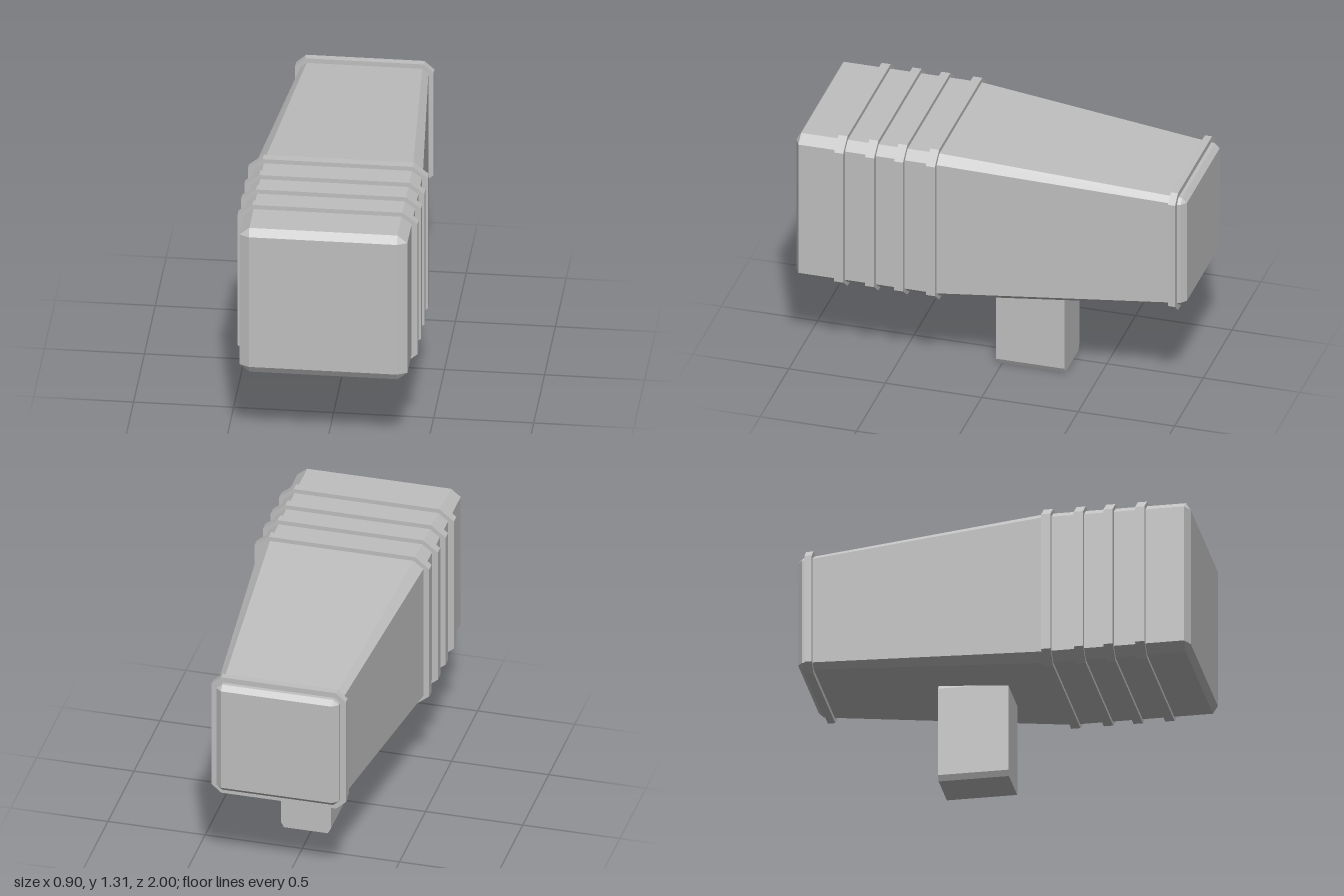
import * as THREE from 'three';

// Chamfered rectangle, counter-clockwise seen from +z
function section({ z, w, y0, y1, cx = 0, cy = 0, x = 0 }) {
  return [
    [w, y0 + cy], [w, y1 - cy], [w - cx, y1], [-w + cx, y1],
    [-w, y1 - cy], [-w, y0 + cy], [-w + cx, y0], [w - cx, y0],
  ].map(([px, py]) => new THREE.Vector3(px + x, py, z));
}

// Flat-faced closed solid through sections ordered from front to back
function loft(specs) {
  const rings = specs.map(section);
  const pos = [];
  const tri = (a, b, c) => {
    const area = b.clone().sub(a).cross(c.clone().sub(a)).length();
    if (area > 1e-8) for (const p of [a, b, c]) pos.push(p.x, p.y, p.z);
  };
  for (let r = 0; r < rings.length - 1; r++) {
    const a = rings[r], b = rings[r + 1];
    for (let i = 0; i < 8; i++) {
      const j = (i + 1) % 8;
      tri(a[i], b[i], a[j]);
      tri(a[j], b[i], b[j]);
    }
  }
  const front = rings[0], back = rings[rings.length - 1];
  for (let i = 1; i < 7; i++) {
    tri(front[0], front[i], front[i + 1]);
    tri(back[0], back[i + 1], back[i]);
  }
  const geo = new THREE.BufferGeometry();
  geo.setAttribute('position', new THREE.Float32BufferAttribute(pos, 3));
  geo.computeVertexNormals();
  return geo;
}

export function createModel() {
  const model = new THREE.Group();
  model.name = 'malletShapedHousing';
  const grey = new THREE.MeshStandardMaterial({ color: 0xbfbfbf });
  grey.name = 'grey';

  const add = (name, specs) => {
    const mesh = new THREE.Mesh(loft(specs), grey);
    mesh.name = name;
    model.add(mesh);
  };
  const slab = (name, z0, z1, shape) => add(name, [{ ...shape, z: z0 }, { ...shape, z: z1 }]);

  // Body: straight front block, tapering to the back, bevelled at both ends
  const block = { w: 0.42, y0: 0.47, y1: 1.285, cx: 0.05, cy: 0.04 };
  add('body', [
    { z: 1, w: 0.37, y0: 0.51, y1: 1.245 },
    { ...block, z: 0.975 },
    { ...block, z: 0.26 },
    { z: -0.975, w: 0.315, y0: 0.575, y1: 1.185, cx: 0.03, cy: 0.025 },
    { z: -1, w: 0.285, y0: 0.6, y1: 1.16 },
  ]);

  // Raised bands around the front block
  const band = { w: 0.45, y0: 0.45, y1: 1.308, cx: 0.075, cy: 0.06 };
  [0.78, 0.62, 0.47, 0.305].forEach((z, i) => slab('band' + (i + 1), z, z - 0.047, band));

  // Collar at the narrow end
  slab('rearCollar', -0.92, -0.957, { w: 0.346, y0: 0.545, y1: 1.215, cx: 0.05, cy: 0.045 });

  // Grip below, slightly off centre
  slab('grip', 0.028, -0.327, { w: 0.128, y0: 0, y1: 0.53, cx: 0.015, cy: 0.028, x: 0.028 });

  return model;
}
